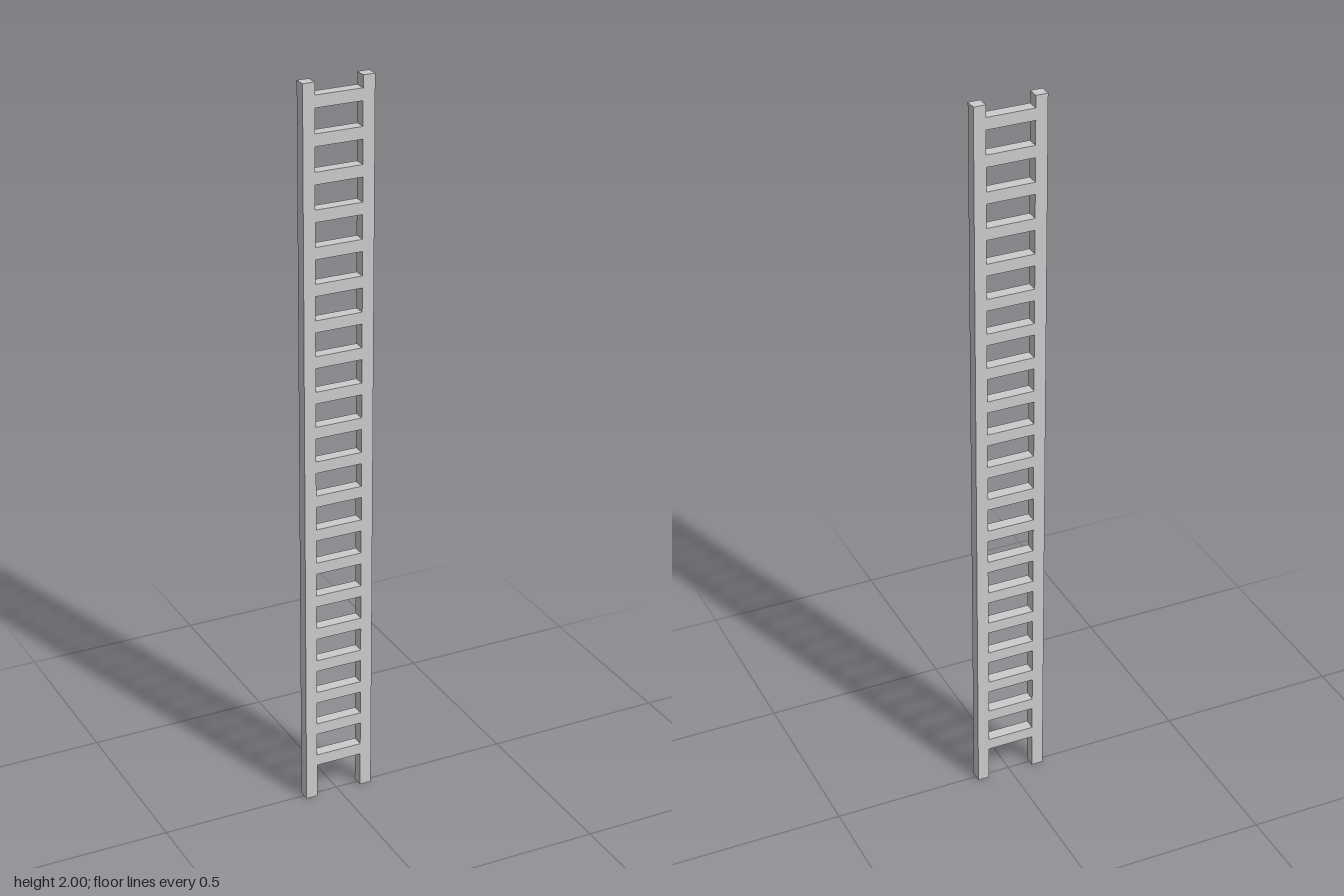
import * as THREE from 'three';

// One square bar thickness sets every proportion of the ladder
const U = 2 / 62;
const RUNGS = 20;

export function createModel() {
  const model = new THREE.Group();
  model.name = 'ladder';
  const material = new THREE.MeshStandardMaterial({ color: 0xcccccc, flatShading: true });

  function addBar(name, width, height, x, y) {
    const bar = new THREE.Mesh(new THREE.BoxGeometry(width, height, U), material);
    bar.name = name;
    bar.position.set(x, y, 0);
    model.add(bar);
  }

  // Side rails
  addBar('leftRail', U, 62 * U, 2.5 * U, 31 * U);
  addBar('rightRail', U, 62 * U, -2.5 * U, 31 * U);

  // Rungs, flush with the rails front and back
  for (let i = 0; i < RUNGS; i++) {
    addBar(`rung${i + 1}`, 4 * U, U, 0, (3.5 + 3 * i) * U);
  }

  return model;
}
